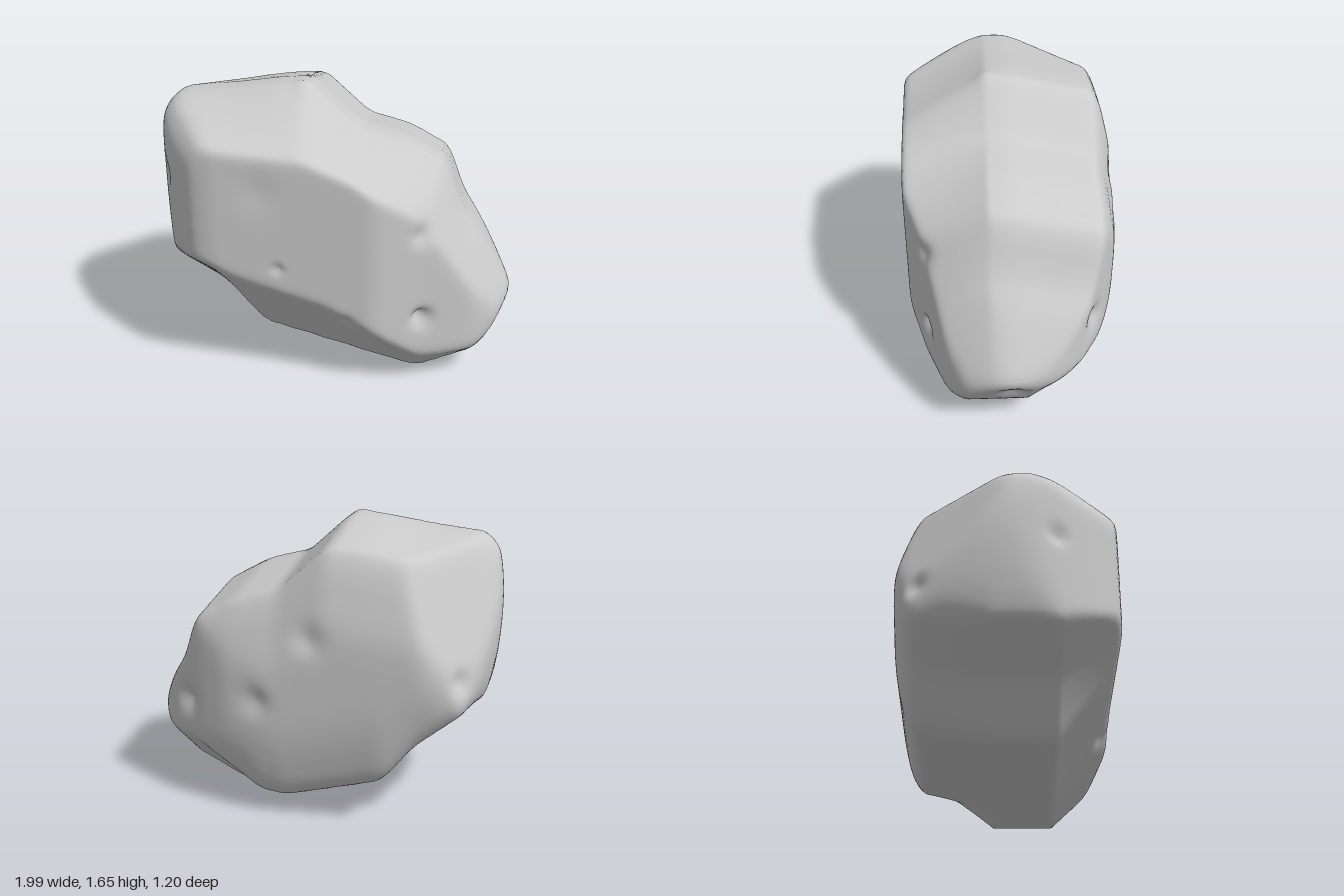
import * as THREE from 'three';
import { mergeVertices } from 'three/addons/utils/BufferGeometryUtils.js';

// Outline heights along x
const TOP = [[-1.02, 1.2], [-0.99, 1.42], [-0.89, 1.56], [-0.6, 1.59], [-0.3, 1.635], [-0.14, 1.645], [0.12, 1.41],
  [0.38, 1.34], [0.62, 1.21], [0.7, 0.97], [0.84, 0.77], [1.02, 0.45]];
const BOTTOM = [[-1.02, 1.2], [-0.96, 0.71], [-0.91, 0.66], [-0.62, 0.49], [-0.4, 0.23], [0.42, 0.01], [0.5, 0],
  [0.82, 0.15], [1.02, 0.45]];
// Height of the upper and lower edges of the front face, and the lower edge of the back face
const FRONT_TOP = [[-1, 1.38], [-0.85, 1.45], [-0.5, 1.4], [-0.1, 1.36], [0.15, 1.26], [0.3, 1.15], [0.5, 0.97],
  [0.65, 0.82], [0.8, 0.55], [1, 0.28]];
const FRONT_BOTTOM = [[-1, 0.98], [-0.85, 0.86], [-0.5, 0.7], [0, 0.56], [0.3, 0.39], [0.5, 0.32], [0.8, 0.37], [1, 0.48]];
const BACK_BOTTOM = [[-1, 1.15], [-0.9, 0.74], [-0.62, 0.5], [-0.45, 0.28], [0.1, 0.12], [0.25, 0.14], [0.4, 0.26],
  [0.65, 0.44], [0.85, 0.54], [1, 0.5]];
// How far the top moves down, and the very edge of the bottom up, towards the back
const BACK_DROP = [[-0.6, 0.5], [-0.5, 0.11], [0, 0], [0.6, 0]];
const BACK_RISE = [[-0.6, 0.35], [-0.57, 0.17], [-0.5, 0], [0, 0], [0.6, 0]];
// Plan outline: depth along x
const FRONT = [[-1.02, 0], [-0.96, 0.2], [-0.85, 0.4], [-0.72, 0.57], [-0.6, 0.6], [0.27, 0.58], [0.55, 0.46],
  [0.81, 0.36], [0.95, 0.25], [1.02, 0.1]];
const BACK = [[-1.02, 0], [-0.99, -0.2], [-0.87, -0.51], [-0.65, -0.605], [0.18, -0.605], [0.42, -0.565], [0.58, -0.5],
  [0.8, -0.38], [0.95, -0.2], [1.02, -0.03]];

// Dents and the small crest: position, radius, depth (negative raises)
const DENTS = [
  [0.52, 0.44, 0.45, 0.05, 0.07], [-0.25, 0.75, 0.6, 0.03, 0.02], [0.52, 0.95, 0.47, 0.06, 0.03],
  [-0.92, 1.14, 0.25, 0.05, 0.03], [0.13, 0.45, 0.52, 0.05, 0.03], [0.9, 0.33, 0, 0.07, 0.03],
  [0.7, 0.62, -0.44, 0.07, 0.04], [-0.17, 1.63, 0.12, 0.06, -0.01], [-0.35, 1.2, 0.6, 0.1, 0.012],
  [-0.08, 1.08, -0.6, 0.08, 0.025], [0.23, 0.7, -0.6, 0.08, 0.025], [-0.86, 0.88, -0.47, 0.06, 0.03],
];

// Piecewise linear curve that continues past both ends
function lerpCurve(pts, t) {
  let i = 0;
  while (i < pts.length - 2 && t > pts[i + 1][0]) i++;
  const [a, b] = [pts[i], pts[i + 1]];
  return a[1] + (b[1] - a[1]) * (t - a[0]) / (b[0] - a[0]);
}
const curve = (pts, t) => [-0.04, -0.02, 0, 0.02, 0.04].reduce((s, d) => s + lerpCurve(pts, t + d) / 5, 0);

// Height offset of a sloping bevel that runs from an outline at depth z0 to an edge at z1
const bevel = (outline, edge, p, z0, z1) =>
  Math.max(0, (p.z - z0) / (z1 - z0)) * (curve(edge, p.x) - curve(outline, p.x));

// Each side of the boulder: positive outside
const SIDES = [
  p => p.y - curve(TOP, p.x) - bevel(TOP, FRONT_TOP, p, 0.12, 0.6) + curve(BACK_DROP, p.z),
  p => curve(BOTTOM, p.x) + bevel(BOTTOM, FRONT_BOTTOM, p, 0.26, 0.6)
    + bevel(BOTTOM, BACK_BOTTOM, p, -0.08, -0.5) + curve(BACK_RISE, p.z) - p.y,
  p => p.z - curve(FRONT, p.x),
  p => curve(BACK, p.x) - p.z,
  // Broken-off corners: back of the high end, front of the low end, front of the high end
  p => -0.72 * p.x + 0.36 * p.y - 0.58 * p.z - 1.22,
  p => 0.79 * p.x + 0.41 * p.y + 0.45 * p.z - 1.03,
  p => -0.6 * p.x + 0.55 * p.y + 0.58 * p.z - 1.5,
];
const CENTRE = new THREE.Vector3(-0.02, 0.8, 0);
const SHARPNESS = 55;

// Distance from the centre to one side along a direction
function reach(side, dir) {
  const p = new THREE.Vector3();
  const outside = r => side(p.copy(CENTRE).addScaledVector(dir, r)) > 0;
  let hi = 0.1;
  while (hi < 2 && !outside(hi)) hi += 0.1;
  let lo = hi - 0.1;
  for (let i = 0; i < 9; i++) {
    const mid = (lo + hi) / 2;
    if (outside(mid)) hi = mid; else lo = mid;
  }
  return lo;
}

function boulderGeometry() {
  let geo = new THREE.IcosahedronGeometry(1, 40);
  geo.deleteAttribute('normal');
  geo.deleteAttribute('uv');
  geo = mergeVertices(geo, 1e-4);
  const pos = geo.attributes.position;
  const dir = new THREE.Vector3(), p = new THREE.Vector3();
  for (let i = 0; i < pos.count; i++) {
    dir.fromBufferAttribute(pos, i).normalize();
    // Soft minimum rounds the edges between sides
    const sum = SIDES.reduce((s, side) => s + reach(side, dir) ** -SHARPNESS, 0);
    p.copy(CENTRE).addScaledVector(dir, sum ** (-1 / SHARPNESS));
    for (const [x, y, z, radius, depth] of DENTS) {
      const d2 = (p.x - x) ** 2 + (p.y - y) ** 2 + (p.z - z) ** 2;
      p.addScaledVector(dir, -depth * Math.exp(-d2 / (radius * radius)));
    }
    pos.setXYZ(i, p.x, p.y, p.z);
  }
  geo.computeVertexNormals();
  return geo;
}

export function createModel() {
  const group = new THREE.Group();
  const boulder = new THREE.Mesh(boulderGeometry(), new THREE.MeshStandardMaterial({ color: 0xcccccc }));
  boulder.name = 'boulder';
  group.add(boulder);
  return group;
}
